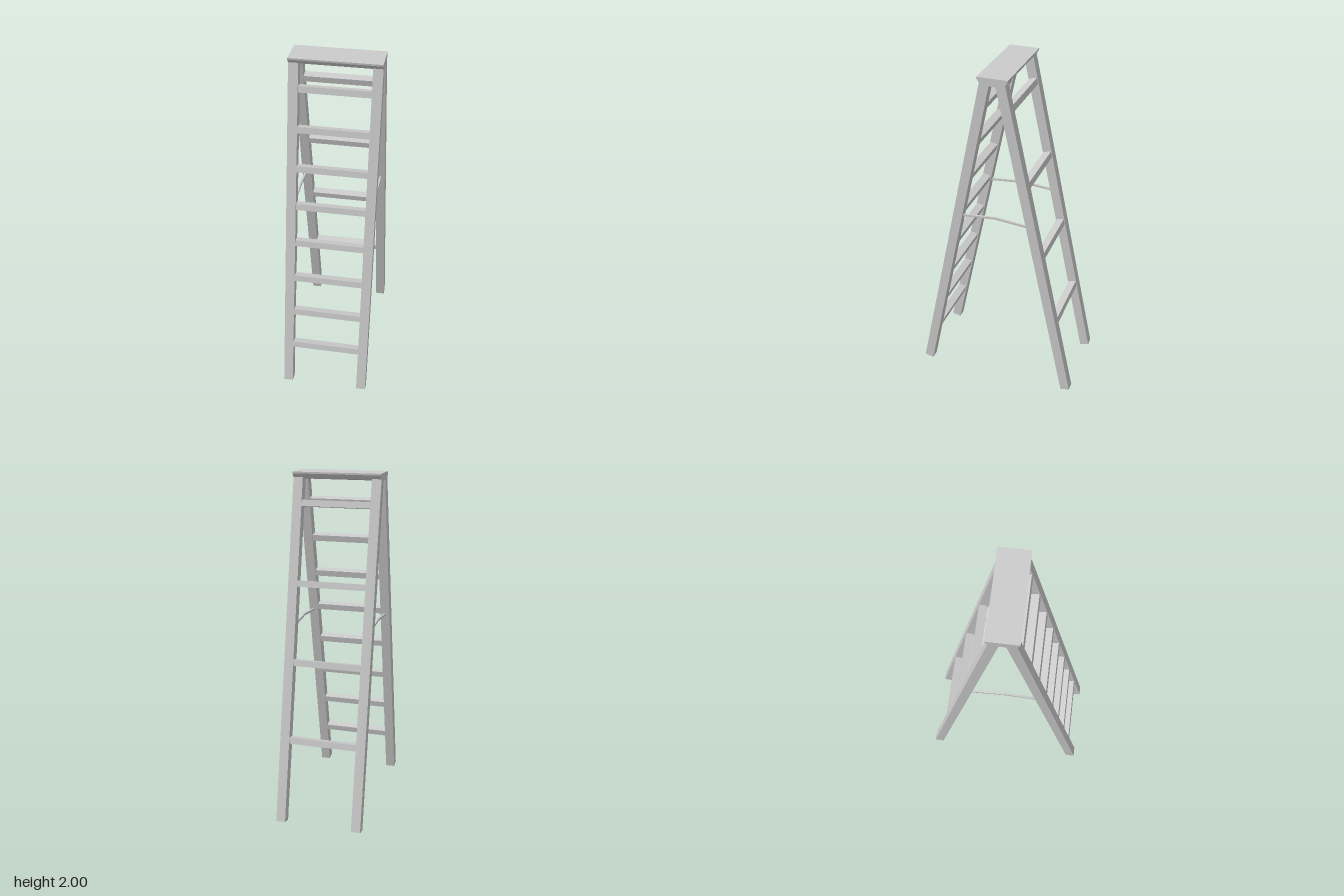
import * as THREE from 'three';

const material = new THREE.MeshStandardMaterial({ color: 0xcccccc, flatShading: true });
const LEAN = 0.21; // tilt of each ladder side

function box(name, w, h, d, x, y, z) {
  const mesh = new THREE.Mesh(new THREE.BoxGeometry(w, h, d), material);
  mesh.name = name;
  mesh.position.set(x, y, z);
  return mesh;
}

// One leaning side: two rails and the given rungs, built upright along y
function ladderSide(name, rungIndices) {
  const side = new THREE.Group();
  side.name = name;
  const length = 2.013;
  for (const s of [-1, 1]) {
    side.add(box(s > 0 ? 'leftRail' : 'rightRail', 0.055, length, 0.055, s * 0.2275, length / 2, 0));
  }
  for (const i of rungIndices) {
    side.add(box('rung' + (i + 1), 0.402, 0.036, 0.046, 0, 0.26 + i * 0.2283, 0.001));
  }
  side.position.set(0, 0.006, 0.4625);
  side.rotation.x = -LEAN;
  const pivot = new THREE.Group();
  pivot.name = name + 'Pivot';
  pivot.add(side);
  return pivot;
}

// Top cap with undercut edges, extruded across the width
function topCap() {
  const half = [[0.087, 2], [0.086, 1.99], [0.07, 1.966], [0.02, 1.956]];
  const points = [...half, ...half.slice().reverse().map(([z, y]) => [-z, y])];
  const shape = new THREE.Shape(points.map(([z, y]) => new THREE.Vector2(z, y)));
  const geometry = new THREE.ExtrudeGeometry(shape, { depth: 0.511, bevelEnabled: false });
  geometry.translate(0, 0, -0.2555).rotateY(Math.PI / 2);
  const mesh = new THREE.Mesh(geometry, material);
  mesh.name = 'topCap';
  return mesh;
}

// Thin folding spreader: two bars meeting at a raised middle hinge
function spreader(name, x) {
  const group = new THREE.Group();
  group.name = name;
  const rise = 0.018, run = 0.203;
  for (const s of [-1, 1]) {
    const bar = box(s > 0 ? 'frontBar' : 'rearBar', 0.012, 0.012, Math.hypot(rise, run), x, 1.138, s * run / 2);
    bar.rotation.x = s * Math.atan2(rise, run);
    group.add(bar);
  }
  return group;
}

export function createModel() {
  const model = new THREE.Group();
  model.name = 'stepladder';

  // Front carries every rung, rear only every second one
  model.add(ladderSide('frontSide', [0, 1, 2, 3, 4, 5, 6, 7]));
  const rear = ladderSide('rearSide', [1, 3, 5, 7]);
  rear.rotation.y = Math.PI;
  model.add(rear);

  model.add(topCap());
  model.add(spreader('leftSpreader', 0.2275), spreader('rightSpreader', -0.2275));
  return model;
}
